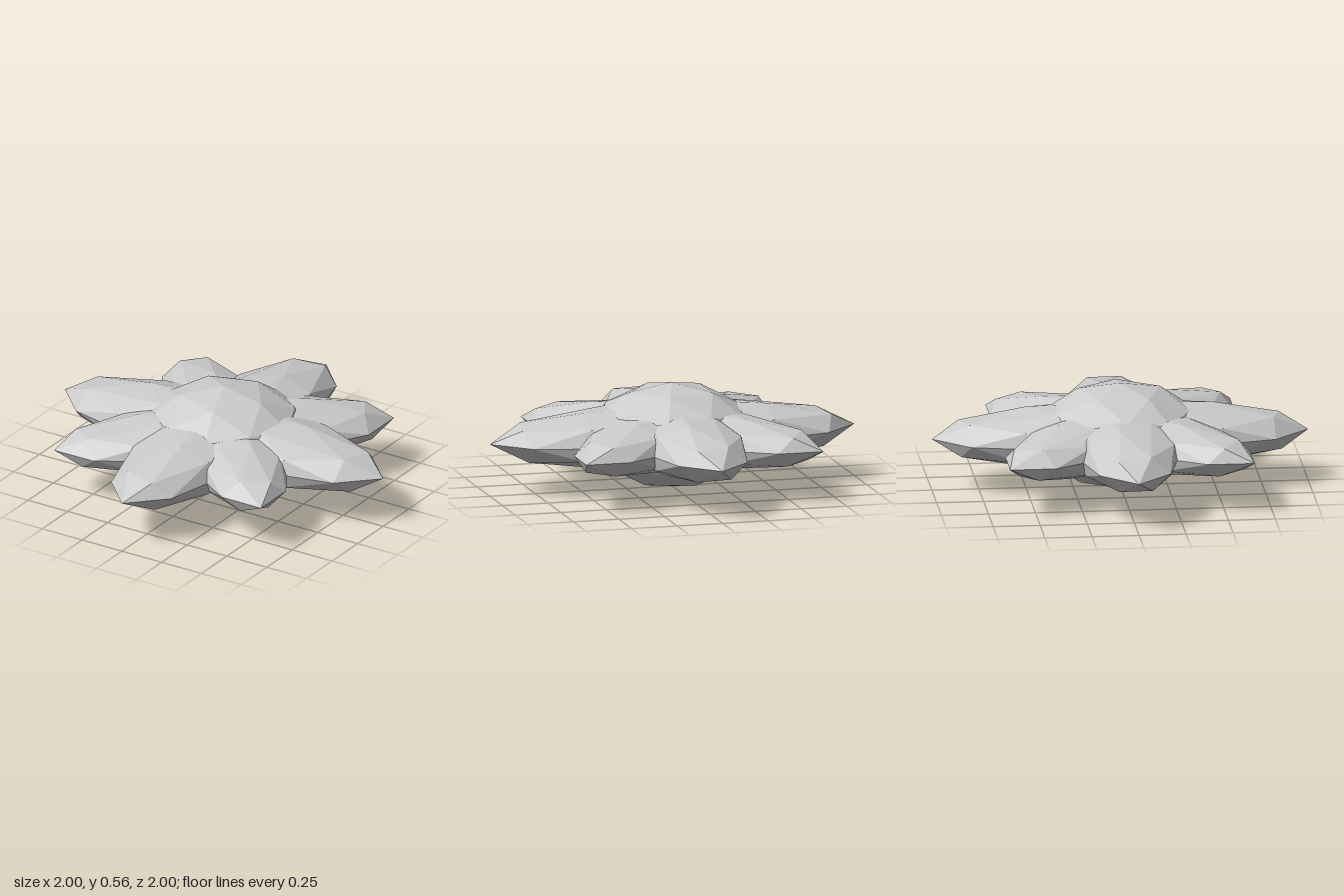
import * as THREE from 'three';

// Faceted ball with a corner pointing straight up, squashed to the given radii
function facetedBall(rx, ry, rz) {
  const geometry = new THREE.IcosahedronGeometry(1, 1);
  geometry.rotateZ(-Math.atan(2 / (1 + Math.sqrt(5))));
  geometry.scale(rx, ry, rz);
  geometry.computeVertexNormals();
  return geometry;
}

export function createModel() {
  const flower = new THREE.Group();
  flower.name = 'flower';
  const material = new THREE.MeshStandardMaterial({ color: 0xcccccc, flatShading: true });
  const midHeight = 0.28;

  // Domed centre, showing above and below the petals
  const centre = new THREE.Mesh(facetedBall(0.44, 0.28, 0.44), material);
  centre.name = 'flowerCentre';
  centre.position.y = midHeight;
  flower.add(centre);

  // Four long bodies cross at the middle, each forming two opposite petals;
  // the diagonal ones are slightly smaller
  const petals = new THREE.Group();
  petals.name = 'petals';
  const petalGeometry = facetedBall(0.322, 0.176, 1);
  for (let i = 0; i < 4; i++) {
    const diagonal = i % 2 === 1;
    const pair = new THREE.Mesh(petalGeometry, material);
    pair.name = diagonal ? 'diagonalPetalPair' : 'mainPetalPair';
    pair.scale.setScalar(diagonal ? 0.92 : 1);
    pair.rotation.y = (i * Math.PI) / 4;
    pair.position.y = midHeight;
    petals.add(pair);
  }
  flower.add(petals);

  return flower;
}
